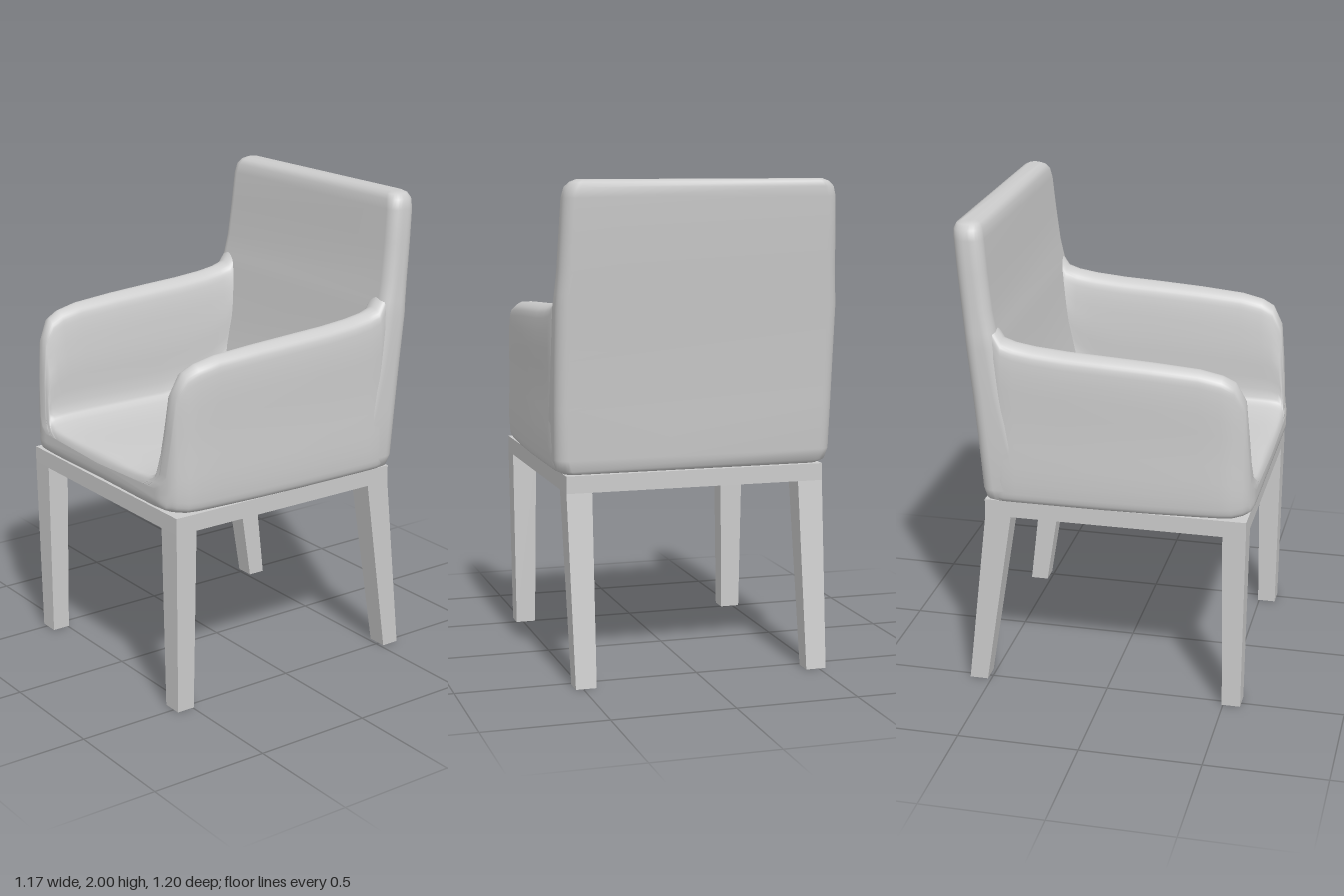
import * as THREE from 'three';

const material = new THREE.MeshStandardMaterial({ color: 0xcccccc, roughness: 0.8 });

// Skin a list of equal-length point rings and close both ends
function loft(rings) {
  const n = rings[0].length;
  const pos = [], idx = [];
  rings.forEach(r => r.forEach(p => pos.push(p.x, p.y, p.z)));
  for (let i = 0; i < rings.length - 1; i++) {
    for (let j = 0; j < n; j++) {
      const a = i * n + j, b = i * n + (j + 1) % n;
      idx.push(a, a + n, b, b, a + n, b + n);
    }
  }
  [0, rings.length - 1].forEach((r, end) => {
    const c = new THREE.Vector3();
    rings[r].forEach(p => c.addScaledVector(p, 1 / n));
    const ci = pos.length / 3;
    pos.push(c.x, c.y, c.z);
    for (let j = 0; j < n; j++) {
      const a = r * n + j, b = r * n + (j + 1) % n;
      if (end) idx.push(ci, b, a); else idx.push(ci, a, b);
    }
  });
  const g = new THREE.BufferGeometry();
  g.setAttribute('position', new THREE.Float32BufferAttribute(pos, 3));
  g.setIndex(idx);
  g.computeVertexNormals();
  return g;
}

// U-shaped section: w half width, b underside, s seat height, a arm height
function seatRing([z, w, b, s, a]) {
  const k = Math.min(1, (a - b) / 0.3);
  const q = Math.min(0.06, (a - s) * 0.4);
  const xi = Math.min(0.455, w - 0.055), xb = Math.min(0.4, xi - 0.045), t = w - xi;
  const half = [
    [0, b], [w - 0.05, b], [w - 0.012, b + 0.014 * k], [w, b + 0.05 * k],
    [w, (a + b) / 2], [w - 0.004, a - q], [w - t * 0.15, a - q * 0.35], [w - t * 0.5, a],
    [xi + t * 0.15, a - q * 0.35], [xi, a - q],
    [xi * 0.55 + xb * 0.45, a * 0.5 + s * 0.5], [xb + 0.012, s + q * 0.5], [xb - 0.03, s], [0, s - 0.012],
  ];
  const left = half.slice(1, -1).reverse().map(([x, y]) => [-x, y]);
  const pts = [...half, ...left].map(([x, y]) => new THREE.Vector3(x, y, z));
  const curve = new THREE.CatmullRomCurve3(pts, true, 'centripetal');
  return curve.getPoints(pts.length * 4).slice(0, -1);
}

// Rounded rectangle section of the backrest at height y
function backRing([y, hx, zFront, zBack]) {
  const hz = (zFront - zBack) / 2, zc = (zFront + zBack) / 2;
  const r = Math.min(0.05, hz * 0.9);
  const pts = [];
  [[1, 1], [-1, 1], [-1, -1], [1, -1]].forEach(([sx, sz], c) => {
    for (let i = 0; i <= 6; i++) {
      const t = (c + i / 6) * Math.PI / 2;
      pts.push(new THREE.Vector3(sx * (hx - r) + r * Math.cos(t), y, zc + sz * (hz - r) + r * Math.sin(t)));
    }
  });
  return pts;
}

// Box whose bottom face is narrowed and shifted: spans are [min, max]
function legGeometry(topX, topZ, botX, botZ, height) {
  const g = new THREE.BoxGeometry(1, 1, 1);
  const p = g.attributes.position;
  for (let i = 0; i < p.count; i++) {
    const up = p.getY(i) > 0;
    const xs = up ? topX : botX, zs = up ? topZ : botZ;
    p.setXYZ(i, xs[p.getX(i) > 0 ? 1 : 0], up ? height : 0, zs[p.getZ(i) > 0 ? 1 : 0]);
  }
  g.computeVertexNormals();
  return g;
}

export function createModel() {
  const chair = new THREE.Group();
  chair.name = 'armchair';
  const add = (name, geometry) => {
    const mesh = new THREE.Mesh(geometry, material);
    mesh.name = name;
    chair.add(mesh);
    return mesh;
  };

  // Upholstered seat with both arms, front to back
  add('seatAndArms', loft([
    [0.600, 0.42, 0.89, 0.93, 0.935],
    [0.596, 0.455, 0.87, 0.95, 0.96],
    [0.586, 0.485, 0.855, 0.965, 1.0],
    [0.575, 0.505, 0.85, 0.972, 1.18],
    [0.56, 0.52, 0.845, 0.978, 1.34],
    [0.52, 0.543, 0.84, 0.982, 1.415],
    [0.47, 0.555, 0.84, 0.984, 1.44],
    [0.38, 0.562, 0.84, 0.985, 1.46],
    [0.2, 0.572, 0.84, 0.985, 1.475],
    [0.0, 0.578, 0.84, 0.985, 1.487],
    [-0.15, 0.579, 0.84, 0.995, 1.495],
    [-0.28, 0.579, 0.84, 1.04, 1.507],
    [-0.36, 0.579, 0.84, 1.1, 1.52],
    [-0.41, 0.578, 0.84, 1.2, 1.537],
    [-0.44, 0.572, 0.84, 1.25, 1.585],
    [-0.46, 0.56, 0.845, 1.3, 1.6],
  ].map(seatRing)));

  // Leaning backrest, bottom to top
  add('backrest', loft([
    [0.84, 0.54, -0.30, -0.475],
    [0.855, 0.565, -0.29, -0.493],
    [0.9, 0.579, -0.29, -0.502],
    [1.1, 0.582, -0.345, -0.517],
    [1.3, 0.583, -0.39, -0.535],
    [1.5, 0.583, -0.42, -0.556],
    [1.56, 0.578, -0.43, -0.562],
    [1.65, 0.572, -0.448, -0.572],
    [1.8, 0.566, -0.465, -0.587],
    [1.93, 0.56, -0.477, -0.598],
    [1.97, 0.55, -0.485, -0.6],
    [1.99, 0.53, -0.498, -0.592],
    [2.0, 0.505, -0.52, -0.572],
  ].map(backRing)));

  // Flat frame under the seat
  const frame = add('seatFrame', new THREE.BoxGeometry(1.08, 0.07, 1.08));
  frame.position.set(0, 0.805, 0.04);

  // Straight front legs and raked back legs
  for (const [side, s] of [['Left', 1], ['Right', -1]]) {
    const span = (a, b) => (s > 0 ? [a, b] : [-b, -a]);
    const topX = span(0.435, 0.54), botX = span(0.445, 0.53);
    add('frontLeg' + side, legGeometry(topX, [0.485, 0.58], botX, [0.495, 0.572], 0.77));
    add('backLeg' + side, legGeometry(topX, [-0.5, -0.392], botX, [-0.592, -0.515], 0.77));
  }
  return chair;
}
